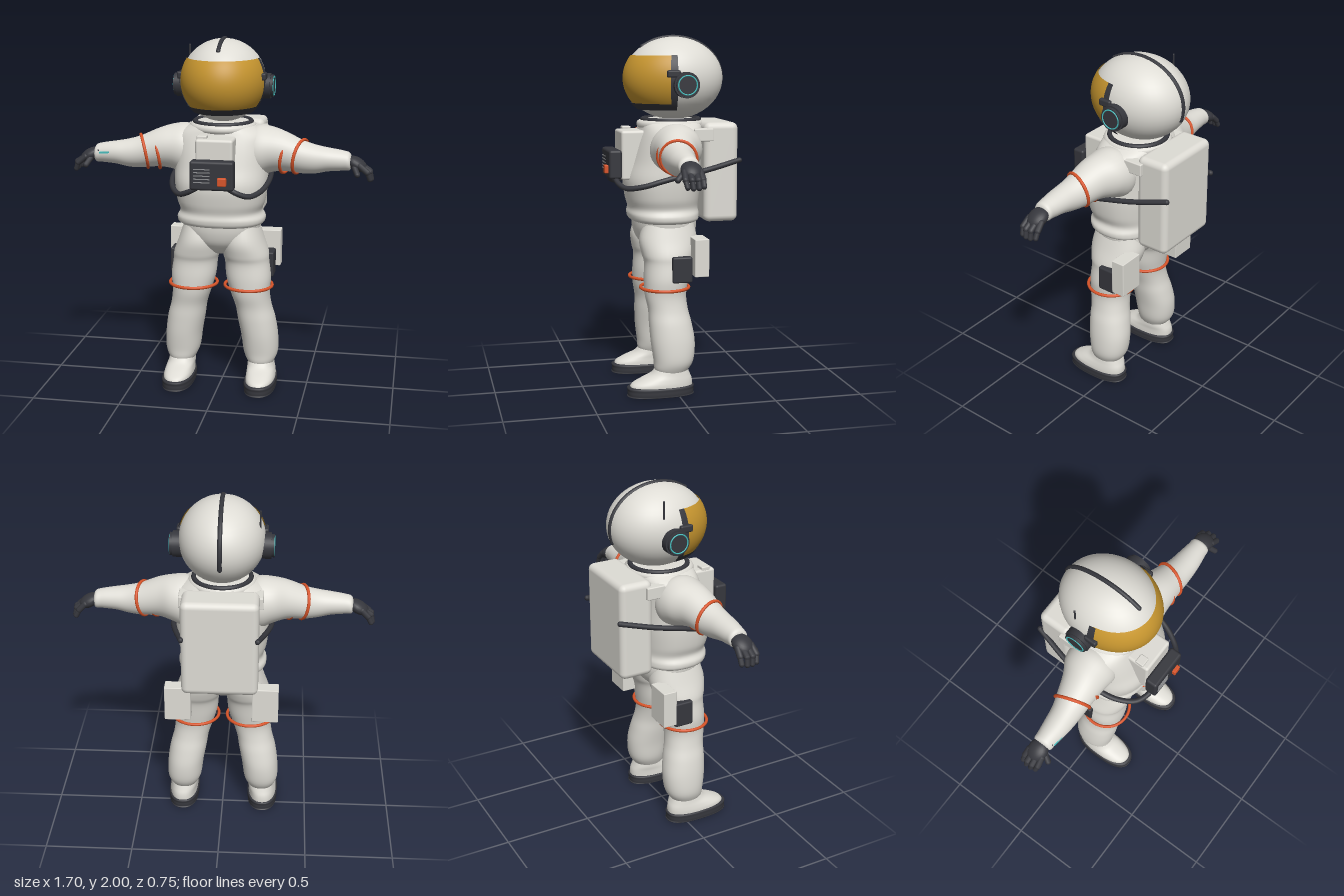
import * as THREE from 'three';
import { RoundedBoxGeometry } from 'three/addons/geometries/RoundedBoxGeometry.js';

const material = (name, color, side = THREE.FrontSide) => {
  const m = new THREE.MeshStandardMaterial({ color, side });
  m.name = name;
  return m;
};
const V = (x, y, z) => new THREE.Vector3(x, y, z);

// Smooth skin over sections [t, centreX, radiusX, centreZ, radiusZ], t ascending along y.
function loft(sections, power = 1, steps = 5, sides = 36) {
  const a = new THREE.CatmullRomCurve3(sections.map(s => V(s[0], s[1], s[2])), false, 'catmullrom');
  const b = new THREE.CatmullRomCurve3(sections.map(s => V(s[3], s[4], 0)), false, 'catmullrom');
  const rows = (sections.length - 1) * steps;
  const pos = [], index = [];
  const bend = v => Math.sign(v) * Math.abs(v) ** power;
  for (let i = 0; i <= rows; i++) {
    const p = a.getPoint(i / rows), q = b.getPoint(i / rows);
    for (let j = 0; j < sides; j++) {
      const t = j / sides * Math.PI * 2;
      pos.push(p.y + Math.max(p.z, 0.001) * bend(Math.cos(t)), p.x, q.x + Math.max(q.y, 0.001) * bend(Math.sin(t)));
      if (i < rows) {
        const k = (j + 1) % sides, n = i * sides;
        index.push(n + j, n + sides + j, n + k, n + k, n + sides + j, n + sides + k);
      }
    }
  }
  const g = new THREE.BufferGeometry();
  g.setAttribute('position', new THREE.Float32BufferAttribute(pos, 3));
  g.setIndex(index);
  g.computeVertexNormals();
  return g;
}

export function createModel() {
  const model = new THREE.Group();
  const white = material('suit white', 0xdedcd5);
  const dark = material('charcoal', 0x36373d);
  const gold = material('visor gold', 0xc6952f, THREE.DoubleSide);
  const trim = material('charcoal trim', 0x36373d, THREE.DoubleSide);
  const orange = material('orange', 0xd9552a);
  const cyan = material('cyan', 0x48c0c0);
  const grey = material('vent grey', 0x8c8d90);

  const add = (name, geometry, mat, x = 0, y = 0, z = 0) => {
    const m = new THREE.Mesh(geometry, mat);
    m.name = name;
    m.position.set(x, y, z);
    model.add(m);
    return m;
  };
  const box = (name, mat, x0, x1, y0, y1, z0, z1, r = 0.01) =>
    add(name, new RoundedBoxGeometry(x1 - x0, y1 - y0, z1 - z0, 3, r), mat, (x0 + x1) / 2, (y0 + y1) / 2, (z0 + z1) / 2);
  const tube = (name, points, r, mat) => {
    const curve = new THREE.CatmullRomCurve3(points);
    add(name, new THREE.TubeGeometry(curve, 48, r, 10), mat);
    for (const p of [points[0], points[points.length - 1]]) add(name + 'End', new THREE.SphereGeometry(r, 10, 8), mat, p.x, p.y, p.z);
  };
  const capsule = (name, a, b, r, mat) => {
    const m = add(name, new THREE.CapsuleGeometry(r, a.distanceTo(b), 5, 10), mat);
    m.position.copy(a).lerp(b, 0.5);
    m.quaternion.setFromUnitVectors(V(0, 1, 0), b.clone().sub(a).normalize());
  };

  // Helmet and patches that follow its shell
  const shell = (name, mat, grow, phi0, phi1, top, bottom) => {
    const t0 = Math.acos((top - 1.76) / 0.23), t1 = Math.acos((bottom - 1.76) / 0.23);
    const g = new THREE.SphereGeometry(1, 48, 24, phi0, phi1 - phi0, t0, t1 - t0);
    add(name, g, mat, 0, 1.76, -0.035).scale.set(0.235 * grow, 0.23 * grow, 0.28 * grow);
  };
  shell('helmet', white, 1, 0, Math.PI * 2, 1.99, 1.53);
  shell('visor', gold, 1.022, 0.17, Math.PI - 0.17, 1.885, 1.615);
  shell('visorLowerFrame', trim, 1.045, 0.1, Math.PI - 0.1, 1.63, 1.595);
  for (const phi of [0.1, Math.PI - 0.24]) shell('visorSideFrame', trim, 1.04, phi, phi + 0.14, 1.885, 1.6);
  tube('helmetCrest', Array.from({ length: 9 }, (_, i) => {
    const a = 0.88 + i / 8 * 2.56;
    return V(0, 1.76 + 0.227 * Math.sin(a), -0.035 + 0.277 * Math.cos(a));
  }), 0.013, dark);
  capsule('antenna', V(-0.205, 1.78, -0.1), V(-0.205, 1.945, -0.1), 0.005, dark);

  // Ear pods with glowing rings
  for (const s of [-1, 1]) {
    const pod = (name, r, w, x, mat) => { add(name, new THREE.CylinderGeometry(r, r, w, 32), mat, s * x, 1.73, -0.05).rotation.z = Math.PI / 2; };
    pod('earPod', 0.071, 0.05, 0.24, dark);
    pod('earPodCap', 0.062, 0.025, 0.268, dark);
    add('earRing', new THREE.TorusGeometry(0.052, 0.004, 8, 36), cyan, s * 0.28, 1.73, -0.05).rotation.y = Math.PI / 2;
    box('visorHinge', dark, s * 0.235 - 0.014, s * 0.235 + 0.014, 1.77, 1.81, -0.02, 0.055);
  }

  // Neck rings
  const ring = (name, r, thick, mat, x, y, z) => {
    const m = add(name, new THREE.TorusGeometry(r, thick, 10, 48), mat, x, y, z);
    m.rotation.x = Math.PI / 2;
    return m;
  };
  ring('neckSeal', 0.158, 0.014, dark, 0, 1.53, -0.02);
  ring('collar', 0.165, 0.024, white, 0, 1.505, -0.015);

  // Jacket and hips
  add('jacket', loft([
    [0.95, 0, 0.15, 0.02, 0.1], [0.965, 0, 0.235, 0.025, 0.185], [1.0, 0, 0.25, 0.03, 0.2], [1.04, 0, 0.232, 0.03, 0.195],
    [1.1, 0, 0.25, 0.035, 0.205], [1.2, 0, 0.262, 0.035, 0.215], [1.3, 0, 0.262, 0.02, 0.2],
    [1.4, 0, 0.265, 0.005, 0.185], [1.47, 0, 0.255, -0.01, 0.175], [1.515, 0, 0.185, -0.015, 0.165], [1.535, 0, 0.13, -0.015, 0.13], [1.54, 0, 0, -0.015, 0]
  ], 0.85), white);
  add('hips', loft([
    [0.77, 0, 0, 0.02, 0], [0.79, 0, 0.07, 0.02, 0.08], [0.85, 0, 0.17, 0.02, 0.15], [0.92, 0, 0.215, 0.02, 0.178], [1.0, 0, 0.225, 0.025, 0.18]
  ], 0.9), white);

  for (const s of [-1, 1]) {
    // Legs
    add('leg', loft([
      [0.1, s * 0.23, 0.05, 0.03, 0.05], [0.14, s * 0.232, 0.077, 0.03, 0.093], [0.2, s * 0.23, 0.1, 0.018, 0.113],
      [0.3, s * 0.222, 0.106, 0.02, 0.124], [0.4, s * 0.205, 0.108, 0.03, 0.12], [0.48, s * 0.188, 0.104, 0.04, 0.112],
      [0.56, s * 0.17, 0.112, 0.05, 0.116], [0.65, s * 0.16, 0.128, 0.045, 0.124], [0.74, s * 0.15, 0.127, 0.035, 0.13],
      [0.79, s * 0.141, 0.131, 0.03, 0.148], [0.87, s * 0.125, 0.118, 0.025, 0.163], [0.97, s * 0.12, 0.09, 0.02, 0.14]
    ], 0.92), white);
    ring('kneeRing', 0.136, 0.009, orange, s * 0.16, 0.6, 0.052);

    // Boots
    add('bootSole', loft([
      [0, s * 0.24, 0, 0.095, 0], [0.002, s * 0.24, 0.08, 0.095, 0.175], [0.012, s * 0.24, 0.089, 0.095, 0.186],
      [0.035, s * 0.24, 0.09, 0.095, 0.187], [0.056, s * 0.24, 0.086, 0.095, 0.183], [0.06, s * 0.24, 0.04, 0.095, 0.1]
    ], 0.8), dark);
    add('boot', loft([
      [0.04, s * 0.24, 0.083, 0.093, 0.179], [0.07, s * 0.24, 0.083, 0.087, 0.173], [0.095, s * 0.238, 0.08, 0.065, 0.147],
      [0.12, s * 0.234, 0.077, 0.04, 0.112], [0.15, s * 0.232, 0.073, 0.03, 0.09]
    ], 0.85), white);

    // Arms, lofted outward from the chest
    const arm = [
      [0.12, 1.37, 0.11, 0, 0.12], [0.2, 1.37, 0.147, 0, 0.145], [0.28, 1.383, 0.128, 0.005, 0.135], [0.36, 1.378, 0.11, 0.025, 0.11],
      [0.46, 1.353, 0.092, 0.04, 0.09], [0.53, 1.345, 0.08, 0.05, 0.078], [0.6, 1.346, 0.066, 0.054, 0.07],
      [0.68, 1.343, 0.056, 0.054, 0.058], [0.72, 1.338, 0.046, 0.053, 0.05], [0.73, 1.335, 0, 0.053, 0]
    ];
    add('arm', loft(arm.map(([t, y, ry, z, rz]) => [t, -s * y, ry, z, rz])), white).rotation.z = -s * Math.PI / 2;
    for (const x of [0.373, 0.443]) {
      const m = add('armRing', new THREE.TorusGeometry(0.096, 0.009, 10, 40), orange, s * x, 1.355, 0.042);
      m.quaternion.setFromUnitVectors(V(0, 0, 1), V(s, -0.2, 0.33).normalize());
    }

    // Gloves
    const palm = add('glovePalm', new THREE.SphereGeometry(1, 20, 14), dark, s * 0.755, 1.327, 0.052);
    palm.scale.set(0.065, 0.036, 0.056);
    palm.rotation.z = -s * 0.5;
    [0.098, 0.068, 0.036, 0.006].forEach((z, i) => {
      const reach = [0, 0.012, 0.01, -0.008][i];
      const mid = V(s * (0.818 + reach), 1.287, z);
      capsule('fingerBase', V(s * 0.775, 1.322, z * 0.9 + 0.005), mid, 0.017, dark);
      capsule('fingerTip', mid, V(s * (0.832 + reach * 0.5), 1.25 - reach * 0.3, z * 0.92), 0.0145, dark);
    });
    capsule('thumb', V(s * 0.745, 1.315, 0.09), V(s * 0.765, 1.28, 0.125), 0.016, dark);

    // Thigh pouches
    box('sidePouch', dark, s * 0.275 - 0.025, s * 0.275 + 0.025, 0.645, 0.79, -0.075, 0.037);
    const pouch = box('rearPouch', white, s * 0.25 - 0.075, s * 0.25 + 0.075, 0.68, 0.89, -0.165, -0.08, 0.004);
    pouch.geometry.scale(1, 1, 0.95);

    // Backpack straps and hose
    box('shoulderStrap', white, s * 0.2 - 0.03, s * 0.2 + 0.03, 1.42, 1.49, -0.21, -0.1, 0.006);
    tube('hose', [
      V(s * 0.09, 1.215, 0.315), V(s * 0.13, 1.192, 0.31), V(s * 0.19, 1.168, 0.275), V(s * 0.245, 1.18, 0.19), V(s * 0.272, 1.21, 0.09),
      V(s * 0.274, 1.24, -0.03), V(s * 0.25, 1.265, -0.17), V(s * 0.205, 1.31, -0.365)
    ], 0.015, dark);
  }

  // Backpack
  box('backpack', white, -0.21, 0.21, 0.965, 1.52, -0.36, -0.165, 0.035);

  // Chest unit
  box('chestPlate', white, -0.103, 0.103, 1.2, 1.475, 0.12, 0.282, 0.015);
  box('chestValve', white, -0.1, -0.045, 1.465, 1.49, 0.2, 0.25, 0.006);
  box('controlBox', dark, -0.12, 0.12, 1.21, 1.37, 0.282, 0.354, 0.014);
  box('controlButton', orange, 0.035, 0.083, 1.24, 1.285, 0.35, 0.374, 0.005);
  for (let i = 0; i < 5; i++) add('vent', new THREE.BoxGeometry(0.09, 0.005, 0.004), grey, -0.053, 1.255 + i * 0.018, 0.355);

  // Forearm display
  const display = add('forearmDisplay', new THREE.BoxGeometry(0.06, 0.01, 0.008), cyan, -0.66, 1.352, 0.113);
  display.rotation.set(0, -0.12, 0.1);
  add('forearmStud', new THREE.SphereGeometry(0.008, 10, 8), dark, -0.695, 1.36, 0.1);
  return model;
}
